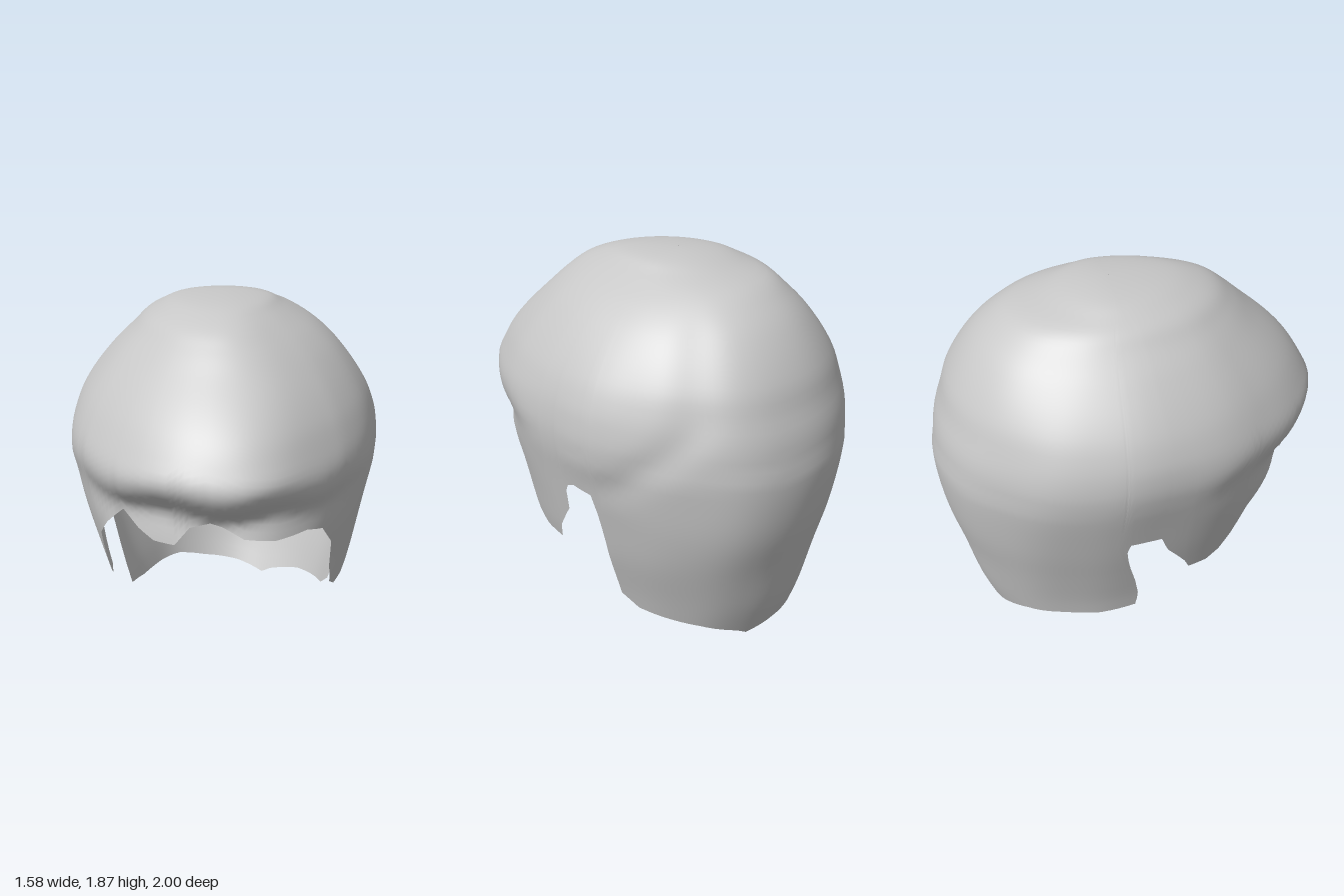
import * as THREE from 'three';
import { mergeVertices } from 'three/addons/utils/BufferGeometryUtils.js';

const TOP = 1.87, CENTRE_Z = -0.1, ROWS = 52;
const RAD = Math.PI / 180;
const { smoothstep } = THREE.MathUtils;

// Cross-sections: height, then reach to the front, back, left (+x), right (-x)
const SECTIONS = [
  [1.87, 0, 0, 0, 0],
  [1.85, 0.31, 0.18, 0.21, 0.23],
  [1.81, 0.47, 0.32, 0.29, 0.33],
  [1.77, 0.56, 0.47, 0.36, 0.4],
  [1.7, 0.65, 0.58, 0.47, 0.47],
  [1.6, 0.76, 0.68, 0.58, 0.57],
  [1.4, 0.97, 0.8, 0.72, 0.72],
  [1.27, 1.06, 0.84, 0.77, 0.775],
  [1.18, 1.1, 0.87, 0.785, 0.79],
  [1.1, 1.06, 0.885, 0.79, 0.79],
  [1.04, 0.99, 0.89, 0.785, 0.78],
  [0.99, 0.95, 0.9, 0.78, 0.77],
  [0.85, 0.975, 0.89, 0.745, 0.73],
  [0.65, 0.95, 0.855, 0.7, 0.67],
  [0.45, 0.93, 0.8, 0.655, 0.605],
  [0.2, 0.9, 0.735, 0.575, 0.53],
  [0, 0.88, 0.655, 0.52, 0.5],
];

// Lower edge: angle in degrees (0 = front, 90 = left side), height
const HEM = [
  [-3, 0.98], [1, 0.965], [9, 0.91], [22, 0.89], [36, 0.9], [45, 0.87],
  // left lock and ear notch
  [54, 0.75], [57, 0.6], [61, 0.48], [67, 0.43], [77, 0.43], [79, 0.52],
  [86, 0.67], [86.6, 0.78], [88, 0.82], [91, 0.84], [98, 0.82], [99.3, 0.72],
  [100.4, 0.55], [100.9, 0.4], [101.5, 0.21],
  // nape
  [109, 0.14], [137, 0.09], [157, 0.03], [163, 0], [180, 0.05], [203, 0.09],
  [221, 0.14], [235, 0.15], [248, 0.15], [261, 0.19],
  // right ear notch and lock
  [262, 0.3], [262.6, 0.55], [263.5, 0.7], [265, 0.76], [275, 0.76],
  [277, 0.65], [283, 0.5], [285, 0.43], [293, 0.43], [298, 0.48], [302, 0.58],
  [307, 0.75], [316, 0.86], [326, 0.965], [331.5, 0.9], [337, 0.86],
  [344.5, 0.86], [350, 0.95], [357, 0.98],
];

const depth = (y) => Math.sqrt(Math.max(0, TOP - y));
const KEYS = SECTIONS.map((s) => depth(s[0]));
const bell = (x, width) => Math.exp(-((x / width) ** 2));

// Smooth interpolation of one column of the cross-sections
function reach(column, y) {
  const u = depth(y), last = KEYS.length - 1;
  let i = 0;
  while (i < last - 1 && KEYS[i + 1] < u) i++;
  const value = (k) => SECTIONS[k][column];
  const slope = (k) => {
    const a = Math.max(0, k - 1), b = Math.min(last, k + 1);
    return (value(b) - value(a)) / (KEYS[b] - KEYS[a]);
  };
  const h = KEYS[i + 1] - KEYS[i], t = Math.min(1, (u - KEYS[i]) / h);
  const t2 = t * t, t3 = t2 * t;
  return (2 * t3 - 3 * t2 + 1) * value(i) + (t3 - 2 * t2 + t) * h * slope(i)
    + (3 * t2 - 2 * t3) * value(i + 1) + (t3 - t2) * h * slope(i + 1);
}

// Reach to the front: the brow roll is full in the middle and fades to the temples
function frontReach(a, c, y) {
  const middle = smoothstep(c, 0.65, 1);
  const wave = 0.018 * Math.sin(a * 9 + 1.2) * c * bell(y - 1.07, 0.15);
  return reach(1, y + wave) - 0.09 * (1 - middle) * bell(y - 1.33, 0.27);
}

// Point of the shell at an angle and a height
function shellPoint(degrees, y) {
  // the right nape edge slants forward as it descends
  const low = smoothstep(0.8 - y, 0, 0.6);
  const deg = degrees + 9 * low * bell(degrees - 262, 22);
  const a = deg * RAD, s = Math.sin(a), c = Math.cos(a);
  const u = depth(y);
  const rz = c > 0 ? frontReach(a, c, y) : reach(2, y);
  const rx = reach(s > 0 ? 3 : 4, y);

  // soft lumps, the furrow behind the left ear, and the fuller left nape
  const lumps = Math.min(1, u) * (0.006 * Math.sin(5 * a + 6 * u)
    + 0.005 * Math.sin(8 * a - 9 * u + 1) + 0.003 * Math.sin(13 * a + 5 * u));
  const path = 106 + 30 * smoothstep(y, 0.8, 1.3);
  const span = smoothstep(y, 0.75, 0.95) * (1 - smoothstep(y, 1.6, 1.78));
  const furrow = 0.022 * span * bell(deg - path, 9);
  const nape = 0.05 * bell(deg - 142, 27) * bell(y - 0.68, 0.36)
    + 0.025 * bell(deg - 148, 20) * bell(y - 1.35, 0.35);
  const k = 1 + lumps * (1 - 0.8 * c * c) - furrow + nape;

  const lean = 0.08 * Math.max(0, c) ** 5 * Math.min(1, u * 1.4);
  return [rx * s * k + lean, y, CENTRE_Z + rz * c * k];
}

function hairGeometry() {
  // columns fall on every corner of the lower edge
  const columns = [];
  HEM.forEach(([a, y], i) => {
    const next = HEM[i + 1] || [HEM[0][0] + 360, HEM[0][1]];
    const n = Math.max(2, Math.ceil((next[0] - a) / 2.5));
    for (let k = 0; k < n; k++) {
      const t = k / n;
      columns.push([a + (next[0] - a) * t, y + (next[1] - y) * t]);
    }
  });

  const positions = [], index = [], stride = ROWS + 1;
  columns.forEach(([a, hem], i) => {
    const next = (i + 1) % columns.length;
    for (let j = 0; j <= ROWS; j++) {
      const t = j / ROWS;
      positions.push(...shellPoint(a, TOP - (TOP - hem) * t * t));
      if (j === ROWS) continue;
      const tl = i * stride + j, tr = next * stride + j;
      if (j > 0) index.push(tl, tl + 1, tr);
      index.push(tr, tl + 1, tr + 1);
    }
  });
  let geometry = new THREE.BufferGeometry();
  geometry.setAttribute('position', new THREE.Float32BufferAttribute(positions, 3));
  geometry.setIndex(index);
  geometry = mergeVertices(geometry);
  geometry.computeVertexNormals();
  return geometry;
}

export function createModel() {
  const grey = new THREE.MeshStandardMaterial({ color: 0xc8c8c8, side: THREE.DoubleSide });
  grey.name = 'light grey';
  const hair = new THREE.Mesh(hairGeometry(), grey);
  hair.name = 'hair';
  const model = new THREE.Group();
  model.name = 'hairpiece';
  model.add(hair);
  return model;
}
